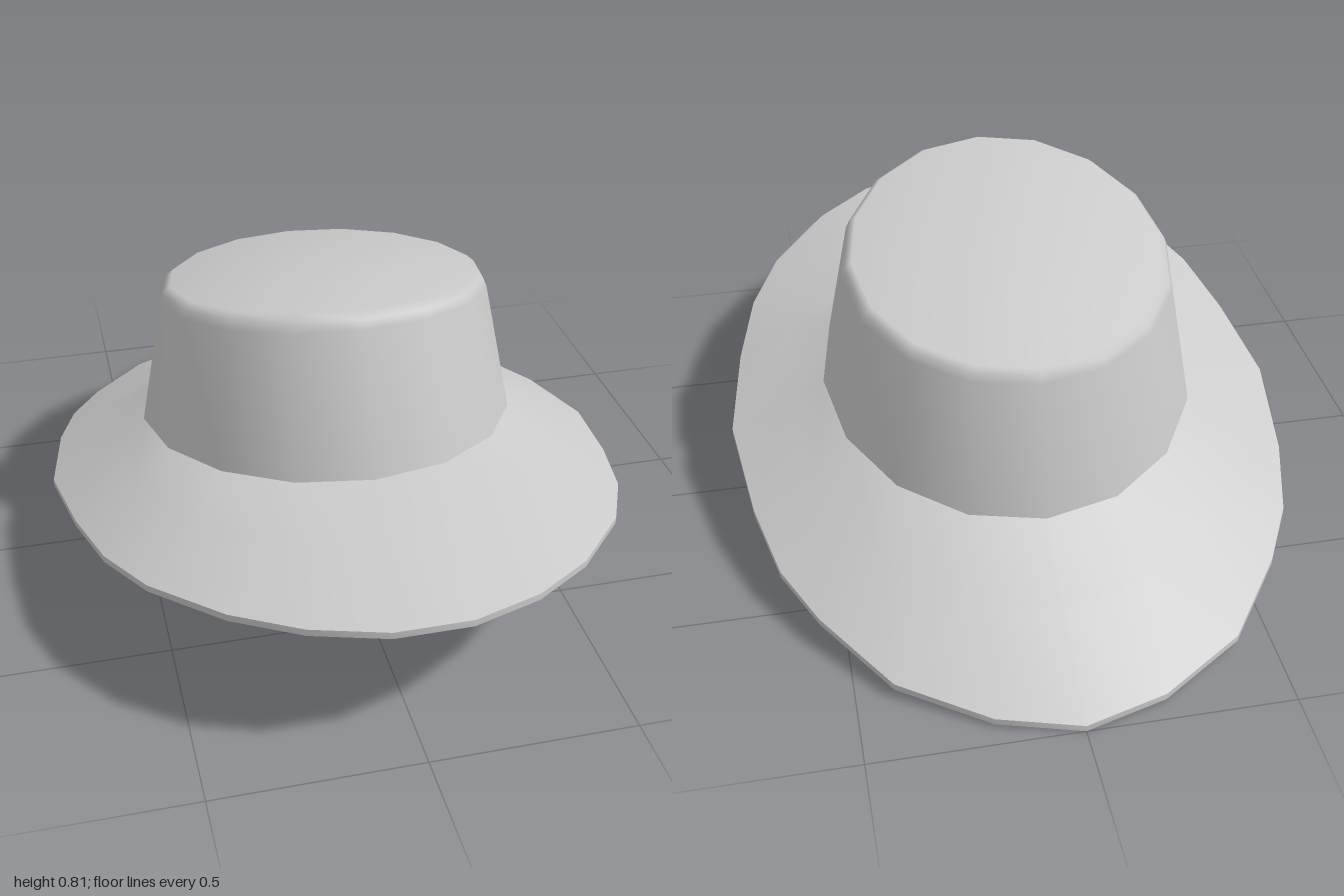
import * as THREE from 'three';

const material = new THREE.MeshStandardMaterial({ color: 0xcccccc });

// A tilted oval loop of 16 points, starting at the front and running towards +x.
function ring(rx, rz, zMid, y, tilt, sag = 0, bump = 0) {
  return Array.from({ length: 16 }, (_, i) => {
    const a = (i / 16) * Math.PI * 2, c = Math.cos(a), s = Math.sin(a);
    return { a, p: [rx * s, y + tilt * c - sag * s * s + bump * Math.max(0, c), zMid + rz * c] };
  });
}

// Brim outline: half of it given as [x, z] from front to back, then mirrored.
const half = [[0.09, 0.995], [0.26, 0.93], [0.41, 0.82], [0.56, 0.64], [0.64, 0.47], [0.69, 0.26],
  [0.727, 0], [0.69, -0.28], [0.64, -0.47], [0.56, -0.62], [0.41, -0.82], [0.2, -0.95]];
const outline = [...half, [0, -1], ...half.map(([x, z]) => [-x, z]).reverse()];

function brimEdge(lift) {
  return outline.map(([x, z]) => {
    const a = Math.atan2(x / 0.73, z);
    const y = 0.184 + 0.184 * z - (z < -0.4 && z > -0.9 ? 0.008 : 0);
    return { a: a < 0 ? a + Math.PI * 2 : a, p: [x, Math.max(0, y) + lift, z] };
  });
}

// Skin a list of loops (outer/lower first); loops may differ in point count.
function skin(name, loops, inward = false) {
  const positions = [], index = [];
  const starts = loops.map((loop) => {
    const start = positions.length / 3;
    loop.forEach(({ p }) => positions.push(...p));
    return start;
  });
  const angle = (loop, i) => loop[i % loop.length].a + Math.floor(i / loop.length) * Math.PI * 2;
  for (let k = 0; k < loops.length - 1; k++) {
    const A = loops[k], B = loops[k + 1];
    const va = (i) => starts[k] + (i % A.length), vb = (j) => starts[k + 1] + (j % B.length);
    let i = 0, j = 0;
    while (i < A.length || j < B.length) {
      const stepA = j === B.length || (i < A.length && angle(A, i + 1) <= angle(B, j + 1));
      const tri = stepA ? [va(i), va(i + 1), vb(j)] : [va(i), vb(j + 1), vb(j)];
      if (stepA) i++; else j++;
      if (new Set(tri).size < 3) continue;
      index.push(...(inward ? tri.reverse() : tri));
    }
  }
  const geometry = new THREE.BufferGeometry();
  geometry.setAttribute('position', new THREE.Float32BufferAttribute(positions, 3));
  geometry.setIndex(index);
  geometry.computeVertexNormals();
  const mesh = new THREE.Mesh(geometry, material);
  mesh.name = name;
  return mesh;
}

// Crown loops from the base, over the rounded shoulder, to the middle of the top.
function crownLoops(inset, drop) {
  return [
    ring(0.48 - inset, 0.535 - inset, -0.023, 0.34 - drop, 0.09),
    ring(0.417 - inset, 0.441 - inset, -0.04, 0.68 - drop, 0.09, 0.015),
    ring(0.408 - inset, 0.434 - inset, -0.043, 0.702 - drop, 0.09, 0.015),
    ring(0.39 - inset, 0.415 - inset, -0.046, 0.715 - drop, 0.09, 0.012),
    ring(0.2, 0.21, -0.045, 0.737 - drop, 0.047, 0.004),
    [{ a: 0, p: [0, 0.745 - drop, -0.045] }],
  ];
}

export function createModel() {
  const hat = new THREE.Group();
  hat.name = 'hat';
  const thickness = 0.017;
  const outer = crownLoops(0, 0);
  const inner = crownLoops(0.015, thickness);

  // Crown, with its hollow inside
  hat.add(skin('crown', outer));
  hat.add(skin('crownLining', inner, true));

  // Brim: top side, thin rim and underside
  const low = brimEdge(0), high = brimEdge(thickness);
  hat.add(skin('brimTop', [high, ring(0.58, 0.75, -0.012, 0.277, 0.133, 0, 0.012), outer[0]]));
  hat.add(skin('brimRim', [low, high]));
  hat.add(skin('brimUnderside', [low, inner[0]], true));
  return hat;
}
